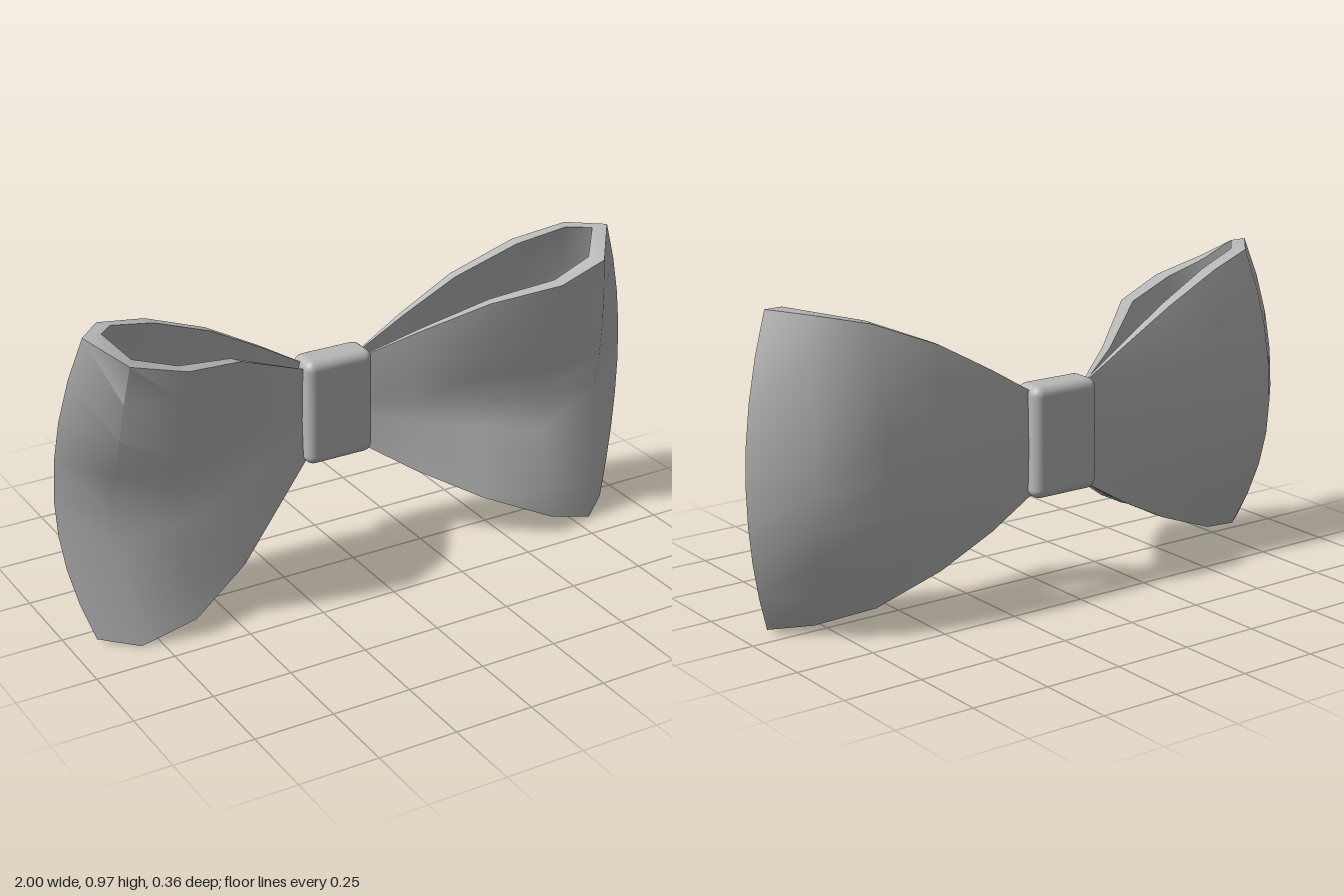
import * as THREE from 'three';
import { toCreasedNormals } from 'three/addons/utils/BufferGeometryUtils.js';
import { RoundedBoxGeometry } from 'three/addons/geometries/RoundedBoxGeometry.js';

// Ribbon loop, from the knot along the front, round the tip and back along the rear.
// Each column: bottom, middle and top point, wall thickness, bend power of z.
const COLUMNS = [
  { b: [0.10, 0.33, -0.115], m: [0.10, 0.47, -0.12], t: [0.10, 0.635, -0.115], w: 0.008, p: 1 },
  { b: [0.25, 0.235, -0.03], m: [0.25, 0.46, -0.06], t: [0.25, 0.715, -0.03], w: 0.025, p: 1 },
  { b: [0.43, 0.145, 0.09], m: [0.43, 0.45, 0.01], t: [0.43, 0.82, 0.10], w: 0.04, p: 0.9 },
  { b: [0.64, 0.06, 0.178], m: [0.64, 0.44, 0.07], t: [0.64, 0.865, 0.178], w: 0.05, p: 0.8 },
  { b: [0.81, 0.003, 0.15], m: [0.85, 0.44, 0.085], t: [0.81, 0.91, 0.16], w: 0.05, p: 0.8 },
  { b: [0.915, 0.014, 0.065], m: [1.00, 0.47, 0.008], t: [0.90, 0.975, 0.045], w: 0.045, p: 2 },
  { b: [0.81, 0.033, -0.03], m: [0.86, 0.47, -0.14], t: [0.81, 0.965, -0.06], w: 0.045, p: 2 },
  { b: [0.64, 0.07, -0.10], m: [0.64, 0.47, -0.183], t: [0.64, 0.925, -0.105], w: 0.045, p: 2 },
  { b: [0.43, 0.15, -0.13], m: [0.43, 0.47, -0.175], t: [0.43, 0.84, -0.135], w: 0.035, p: 2 },
  { b: [0.25, 0.24, -0.14], m: [0.25, 0.47, -0.16], t: [0.25, 0.74, -0.14], w: 0.02, p: 2 },
  { b: [0.10, 0.33, -0.138], m: [0.10, 0.47, -0.142], t: [0.10, 0.65, -0.138], w: 0.006, p: 2 },
];
const ROWS = 8;

// Outer surface point of a column at height v (-1 bottom to 1 top)
function outerPoint(c, v) {
  const end = v < 0 ? c.b : c.t, a = Math.abs(v);
  const mix = (k, f) => c.m[k] + (end[k] - c.m[k]) * f;
  return new THREE.Vector3(mix(0, a * a), mix(1, a), mix(2, Math.pow(a, c.p)));
}

// Horizontal inset of one row of the loop
function insetRow(row) {
  const normal = (a, b) => new THREE.Vector2(a.z - b.z, b.x - a.x).normalize();
  return row.map((q, i) => {
    const n1 = normal(row[Math.max(i - 1, 0)], row[Math.max(i, 1)]);
    const last = row.length - 1;
    const n2 = normal(row[Math.min(i, last - 1)], row[Math.min(i + 1, last)]);
    const n = n1.clone().add(n2).normalize();
    const d = COLUMNS[i].w / Math.max(n.dot(n1), 0.6);
    return new THREE.Vector3(q.x - n.x * d, q.y, q.z - n.y * d);
  });
}

function wingGeometry(side) {
  const outer = [], inner = [], pos = [];
  for (let j = 0; j <= ROWS; j++) {
    outer.push(COLUMNS.map((c) => outerPoint(c, (2 * j) / ROWS - 1)));
    inner.push(insetRow(outer[j]));
  }
  const tri = (a, b, c) => {
    for (const q of side > 0 ? [a, b, c] : [a, c, b]) pos.push(q.x * side, q.y, q.z);
  };
  const quad = (a, b, c, d) => { tri(a, b, c); tri(a, c, d); };
  for (let i = 0; i < COLUMNS.length - 1; i++) {
    for (let j = 0; j < ROWS; j++) {
      quad(outer[j][i], outer[j][i + 1], outer[j + 1][i + 1], outer[j + 1][i]);
      quad(inner[j][i + 1], inner[j][i], inner[j + 1][i], inner[j + 1][i + 1]);
    }
    // Top and bottom rims
    quad(outer[ROWS][i], outer[ROWS][i + 1], inner[ROWS][i + 1], inner[ROWS][i]);
    quad(inner[0][i], inner[0][i + 1], outer[0][i + 1], outer[0][i]);
  }
  const g = new THREE.BufferGeometry();
  g.setAttribute('position', new THREE.Float32BufferAttribute(pos, 3));
  return toCreasedNormals(g, 0.8);
}

export function createModel() {
  const group = new THREE.Group();
  group.name = 'bowTie';
  const fabric = new THREE.MeshStandardMaterial({ color: 0xb8b8b8 });
  fabric.name = 'grey fabric';

  // Two looped wings
  for (const [name, side] of [['leftWing', 1], ['rightWing', -1]]) {
    const wing = new THREE.Mesh(wingGeometry(side), fabric);
    wing.name = name;
    group.add(wing);
  }

  // Centre knot
  const knot = new THREE.Mesh(new RoundedBoxGeometry(0.235, 0.35, 0.115, 4, 0.03), fabric);
  knot.name = 'knot';
  knot.position.set(0, 0.495, -0.127);
  group.add(knot);
  return group;
}
